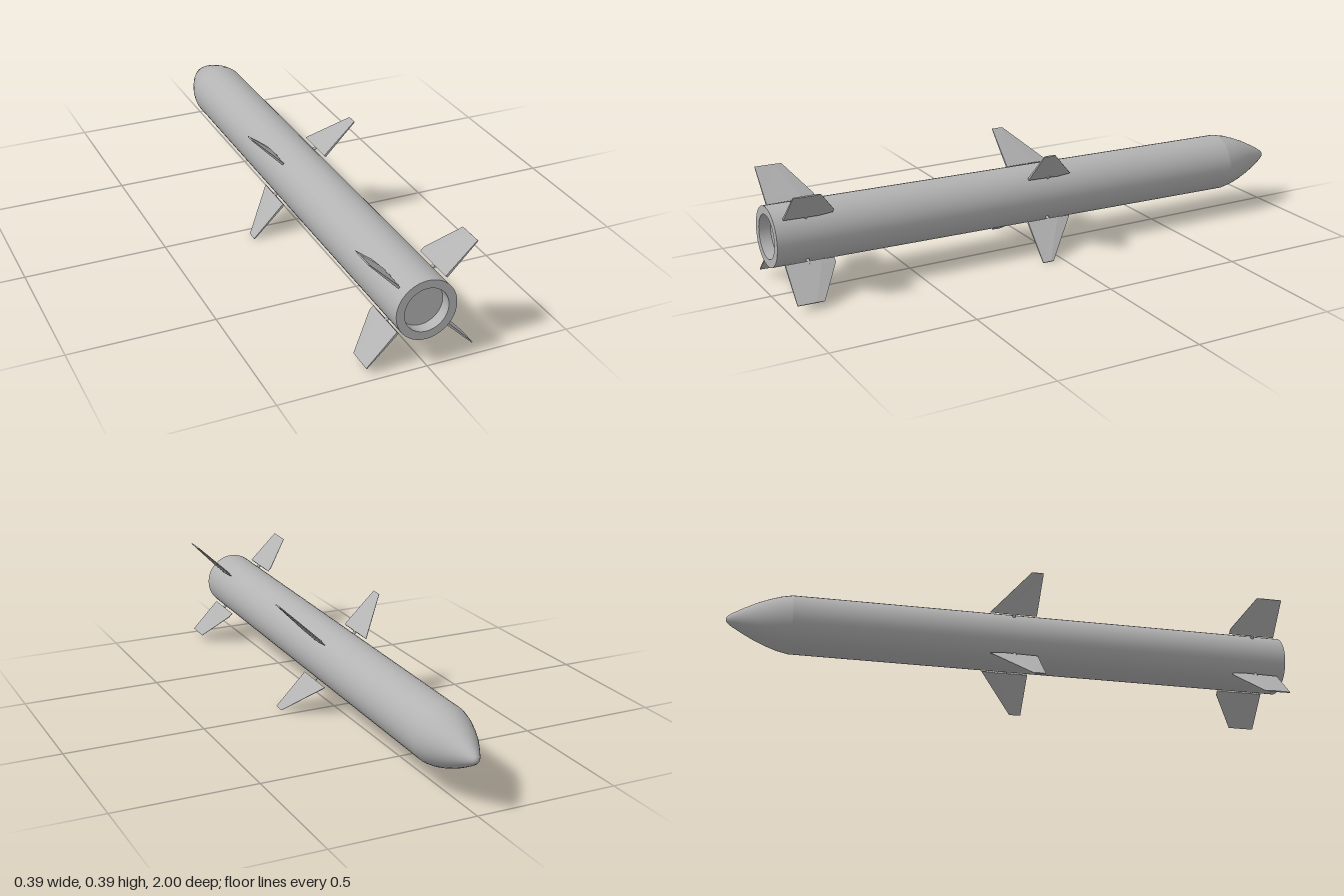
import * as THREE from 'three';

const grey = new THREE.MeshStandardMaterial({ color: 0xb3b3b3 });
grey.name = 'light grey';

function part(name, geometry) {
  const mesh = new THREE.Mesh(geometry, grey);
  mesh.name = name;
  return mesh;
}

// Revolve a profile of [radius, distance toward the nose] around the long axis
function turned(name, profile) {
  const points = profile.map(([r, d]) => new THREE.Vector2(r, d));
  return part(name, new THREE.LatheGeometry(points, 40).rotateX(-Math.PI / 2));
}

// Loft a fin through sections of [radius, leading z, trailing z, half thickness]
function finGeometry(sections) {
  const positions = [];
  const index = [];
  for (const [r, lead, trail, half] of sections) {
    const shoulder = lead + (trail - lead) * 0.3;
    const loop = [[half * 0.2, lead], [half, shoulder], [half * 0.7, trail],
      [-half * 0.7, trail], [-half, shoulder], [-half * 0.2, lead]];
    for (const [y, z] of loop) positions.push(r, y, z);
  }
  const n = 6;
  const last = (sections.length - 1) * n;
  for (let s = 0; s < last; s += n) {
    for (let i = 0; i < n; i++) {
      const j = (i + 1) % n;
      index.push(s + i, s + j, s + n + j, s + i, s + n + j, s + n + i);
    }
  }
  for (let i = 1; i < n - 1; i++) {
    index.push(0, i + 1, i, last, last + i, last + i + 1);
  }
  const indexed = new THREE.BufferGeometry();
  indexed.setAttribute('position', new THREE.Float32BufferAttribute(positions, 3));
  indexed.setIndex(index);
  const flat = indexed.toNonIndexed();
  flat.computeVertexNormals();
  return flat;
}

// Four fins in an X, each held off the body by a small pivot pin
function finSet(name, sections, pinZ) {
  const set = new THREE.Group();
  set.name = name;
  const blade = finGeometry(sections);
  const pin = new THREE.CylinderGeometry(0.006, 0.006, 0.03, 12)
    .rotateZ(-Math.PI / 2).translate(0.107, 0, pinZ);
  for (let k = 0; k < 4; k++) {
    const fin = new THREE.Group();
    fin.name = name + 'Fin';
    fin.rotation.z = Math.PI / 4 + k * Math.PI / 2;
    fin.add(part('finBlade', blade), part('finPin', pin));
    set.add(fin);
  }
  return set;
}

export function createModel() {
  const model = new THREE.Group();
  model.name = 'missile';

  // The airframe leans very slightly off the z axis
  const airframe = new THREE.Group();
  airframe.name = 'airframe';
  airframe.position.set(-0.001, 0.197, 0);
  airframe.rotation.set(-0.0115, -0.009, 0);
  model.add(airframe);

  // Body and pointed nose
  airframe.add(
    turned('bodyTube', [[0.103, -1], [0.102, 0.78]]),
    turned('noseCone', [[0.102, 0.78], [0.094, 0.82], [0.081, 0.86], [0.065, 0.9],
      [0.045, 0.94], [0.023, 0.98], [0.012, 0.995], [0.006, 0.999], [0, 1]]),
  );

  // Tail rim with a shallow exhaust recess
  airframe.add(
    turned('exhaustFloor', [[0, -0.96], [0.075, -0.96]]),
    turned('exhaustWall', [[0.075, -0.96], [0.075, -1]]),
    turned('tailRim', [[0.075, -1], [0.103, -1]]),
  );

  // Fins at mid-body and at the tail
  airframe.add(
    finSet('mid', [[0.112, -0.092, 0.076, 0.006], [0.272, 0.034, 0.076, 0.0025]], -0.005),
    finSet('tail', [[0.112, 0.8, 0.969, 0.006], [0.13, 0.8, 0.969, 0.0056],
      [0.257, 0.876, 0.969, 0.0025]], 0.89),
  );
  return model;
}
